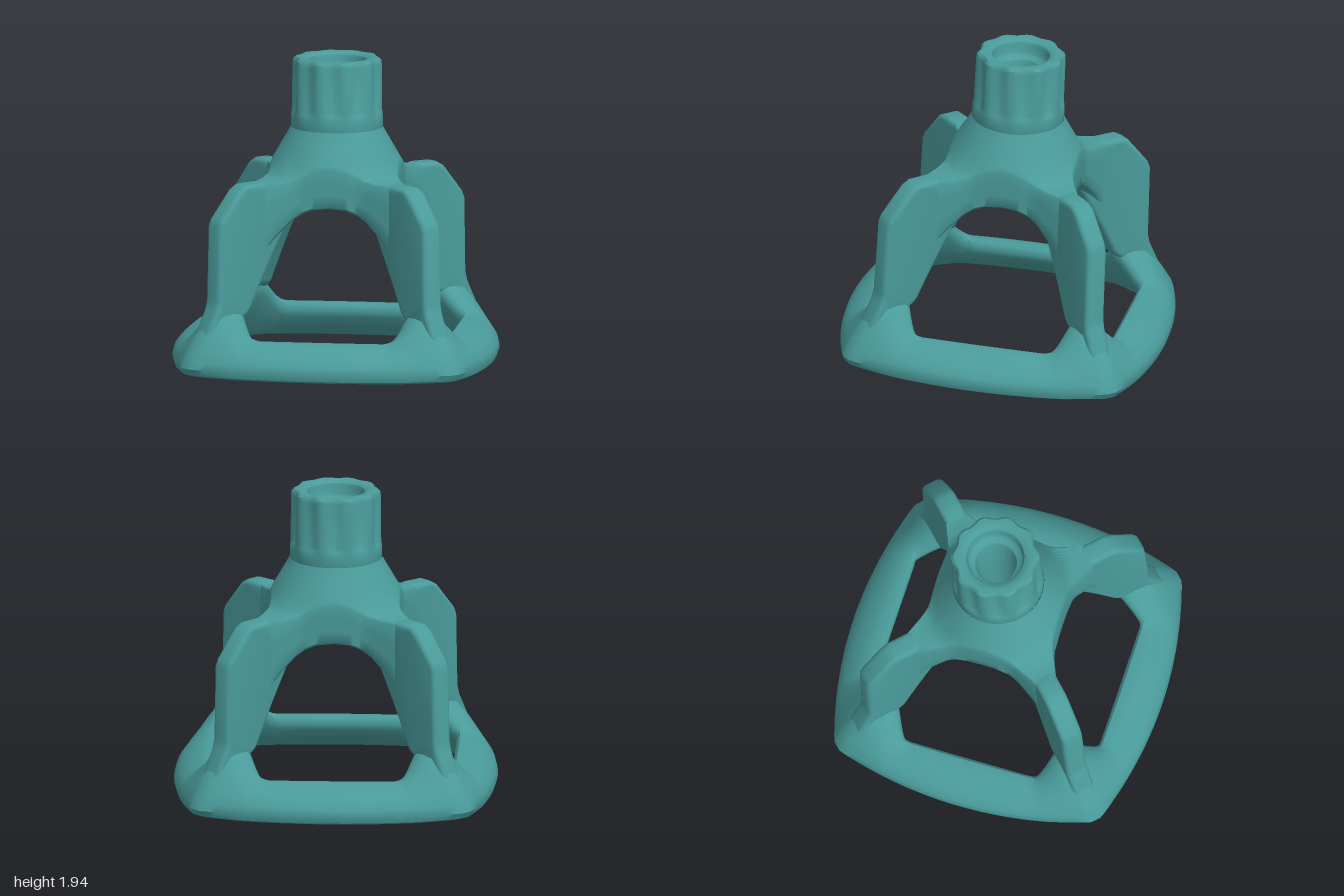
import * as THREE from 'three';
import { toCreasedNormals } from 'three/addons/utils/BufferGeometryUtils.js';

const N = 240; // steps round the axis
const lerp = (a, b, t) => a + (b - a) * t;

// piecewise-linear lookup through [x, y] points
function table(points, x) {
  for (let i = 1; i < points.length; i++) {
    const [x0, y0] = points[i - 1], [x1, y1] = points[i];
    if (x <= x1) return lerp(y0, y1, Math.max(0, (x - x0) / (x1 - x0)));
  }
  return points[points.length - 1][1];
}

// skin through loops; each loop is a function of the angle giving [radius, height]
function loft(loops, crease, closed = false) {
  const pos = [], idx = [];
  for (const loop of loops) {
    for (let j = 0; j < N; j++) {
      const a = (j / N) * Math.PI * 2;
      const [r, y] = loop(a);
      pos.push(r * Math.cos(a), y, -r * Math.sin(a));
    }
  }
  const rows = closed ? loops.length : loops.length - 1;
  for (let i = 0; i < rows; i++) {
    const k = (i + 1) % loops.length;
    for (let j = 0; j < N; j++) {
      const n = (j + 1) % N;
      idx.push(i * N + j, i * N + n, k * N + n, i * N + j, k * N + n, k * N + j);
    }
  }
  const g = new THREE.BufferGeometry();
  g.setAttribute('position', new THREE.Float32BufferAttribute(pos, 3));
  g.setIndex(idx);
  return toCreasedNormals(g, crease);
}

// angle from the nearest side axis, 0 to 45 degrees
const fold = (a) => {
  const q = a % (Math.PI / 2);
  return Math.min(q, Math.PI / 2 - q);
};
// 1 on a diagonal, fading to 0 over the given width
const corner = (a, width) => Math.max(0, 1 - (Math.PI / 4 - fold(a)) / width);

// base ring: bulged square outside, opening pulled in at the corners to meet the legs
function ringGeometry() {
  const outer = (a) => {
    const t = Math.max(Math.tan(fold(a)), 1e-3);
    const x = (Math.sqrt(1 + 0.8 * t * t) - 1) / (0.4 * t * t);
    return Math.min(x / Math.cos(fold(a)), 1.19);
  };
  const inner = (a) => 0.73 / Math.cos(fold(a)) - 0.28 * Math.pow(corner(a, 0.26), 1.15);
  // [fraction from inner to outer, height], up the outside and down the inside
  const section = [[0.86, 0], [0.95, 0.012], [1, 0.052], [0.96, 0.094], [0.84, 0.132], [0.7, 0.165], [0.45, 0.205],
    [0.25, 0.22], [0.1, 0.22], [0.02, 0.2], [0, 0.165], [0.04, 0.13], [0.3, 0.06], [0.5, 0.01], [0.55, 0]];
  return loft(section.map(([f, y]) => (a) => {
    // the top rises at each corner into the foot of a leg
    const c = corner(a, 0.32);
    const lift = 0.18 * c * c * (3 - 2 * c) * Math.min(1, (1 - f) * 1.9) * Math.min(1, y / 0.15);
    return [lerp(inner(a), outer(a), f), y + lift];
  }), 0.7, true);
}

// underside arch: height against sideways distance
const ARCH = [[0, 0.997], [0.1, 0.987], [0.17, 0.96], [0.23, 0.922], [0.28, 0.87], [0.33, 0.82], [0.37, 0.76],
  [0.43, 0.63], [0.49, 0.5]];
// cone and shoulder: height against radius
const CONE = [[0.285, 1.455], [0.3, 1.425], [0.39, 1.27], [0.42, 1.22], [0.46, 1.18], [0.52, 1.163], [0.6, 1.155]];

// squared body with arched underside and conical top, filleted out towards the legs
function bodyGeometry() {
  const edge = (a) => Math.min(0.68, 0.403 / Math.cos(fold(a)) + 0.2 * corner(a, 0.4) ** 2);
  const under = (f) => (a) => {
    const r = lerp(0.12, edge(a), f);
    return [r, table(ARCH, r * Math.sin(fold(a)))];
  };
  const top = (f) => (a) => {
    const r = lerp(edge(a), 0.285, f);
    return [r, table(CONE, r)];
  };
  const wall = (t) => (a) => {
    const r = edge(a);
    return [r, lerp(under(1)(a)[1], table(CONE, r), t)];
  };
  return loft([
    () => [0.12, 1.4],
    ...[0, 0.25, 0.5, 0.75, 0.94].map(under),
    ...[0.06, 0.35, 0.65, 0.95].map(wall),
    ...[0.05, 0.12, 0.2, 0.3, 0.4, 0.5, 0.6, 0.75, 0.88, 1].map(top),
  ], 0.9);
}

// fluted neck with a stepped through bore
function neckGeometry() {
  const flute = (r, y, depth) => (a) => [r - depth * (0.5 - 0.5 * Math.cos(10 * a)), y];
  const bore = [[0.195, 1.883], [0.18, 1.873], [0.172, 1.85], [0.172, 1.81], [0.16, 1.79],
    [0.13, 1.775], [0.12, 1.75], [0.12, 1.35]];
  return loft([
    flute(0.28, 1.44, 0), flute(0.285, 1.47, 0), flute(0.284, 1.53, 0),
    flute(0.282, 1.55, 0.008), flute(0.28, 1.575, 0.022), flute(0.278, 1.85, 0.022),
    flute(0.274, 1.873, 0.022), flute(0.258, 1.888, 0.018), flute(0.22, 1.89, 0),
    ...bore.map(([r, y]) => flute(r, y, 0)),
  ], 0.6);
}

// upright fin leg: outline in radius and height, thickened and rounded
function legGeometry() {
  const s = new THREE.Shape();
  s.moveTo(0.38, 1.1);
  s.lineTo(0.38, 0.93);
  s.splineThru([[0.45, 0.86], [0.53, 0.73], [0.61, 0.59], [0.69, 0.44], [0.73, 0.37], [0.8, 0.32], [0.9, 0.24]]
    .map(([x, y]) => new THREE.Vector2(x, y)));
  s.lineTo(0.99, 0.12);
  s.lineTo(1.09, 0.11);
  s.lineTo(1.07, 0.24);
  s.lineTo(0.99, 0.4);
  s.lineTo(0.975, 0.46);
  s.lineTo(0.965, 0.92);
  s.lineTo(0.945, 0.965);
  s.lineTo(0.8, 1.135);
  s.lineTo(0.75, 1.163);
  s.lineTo(0.62, 1.166);
  s.closePath();
  const g = new THREE.ExtrudeGeometry(s, {
    depth: 0.075, bevelThickness: 0.033, bevelSize: 0.03, bevelOffset: -0.03, bevelSegments: 4, curveSegments: 32,
  });
  g.translate(0, 0, -0.0375);
  return toCreasedNormals(g, 0.6);
}

export function createModel() {
  const teal = new THREE.MeshStandardMaterial({ color: 0x4a9b9b });
  teal.name = 'teal';
  const model = new THREE.Group();
  model.name = 'fourLeggedBase';
  const tilted = new THREE.Group();
  tilted.name = 'tiltedAssembly';
  model.add(tilted);

  const add = (name, geometry) => {
    const mesh = new THREE.Mesh(geometry, teal);
    mesh.name = name;
    tilted.add(mesh);
    return mesh;
  };
  add('baseRing', ringGeometry());
  add('body', bodyGeometry());
  add('neck', neckGeometry());
  const leg = legGeometry();
  ['backLeftLeg', 'backRightLeg', 'frontRightLeg', 'frontLeftLeg'].forEach((name, i) => {
    add(name, leg).rotation.y = Math.PI / 4 + (i * Math.PI) / 2;
  });

  // the whole piece leans slightly backward and is turned a touch
  tilted.rotation.set(-0.045, -0.03, 0);
  tilted.position.set(0, 0.044, 0.003);
  return model;
}
